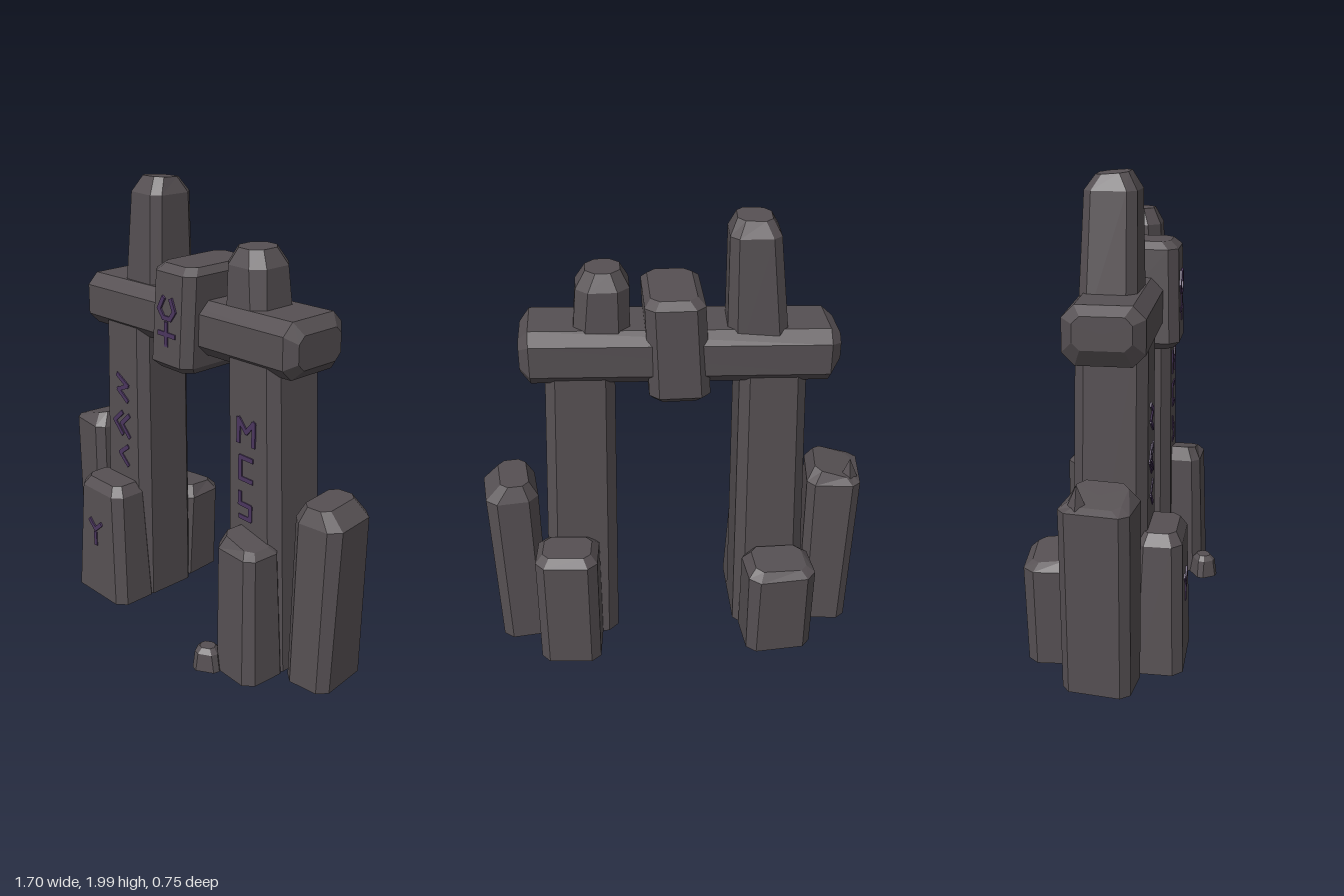
import * as THREE from 'three';

export function createModel() {
  const root = new THREE.Group();
  root.name = 'stoneGate';
  const stoneMat = new THREE.MeshStandardMaterial({ color: 0x565053 });
  stoneMat.name = 'dark stone';
  const runeMat = new THREE.MeshStandardMaterial({ color: 0x4b365f });
  runeMat.name = 'dull violet';

  // Chamfered-rectangle cross-section, turned about its centre, with a tilt in x and z
  function ring([y, x0, x1, z0, z1, c, tx = 0, tz = 0], rot) {
    const cx = (x0 + x1) / 2, cz = (z0 + z1) / 2, w = (x1 - x0) / 2, d = (z1 - z0) / 2;
    const pts = [[w, -d + c], [w, d - c], [w - c, d], [-w + c, d],
      [-w, d - c], [-w, -d + c], [-w + c, -d], [w - c, -d]];
    return pts.map(([x, z]) => new THREE.Vector3(
      cx + x * Math.cos(rot) - z * Math.sin(rot),
      y + tx * x + tz * z,
      cz + x * Math.sin(rot) + z * Math.cos(rot)));
  }

  // Hewn block lofted through rings of [y, x0, x1, z0, z1, chamfer, tiltX, tiltZ]
  function stone(name, sections, rot = 0) {
    const rings = sections.map((s) => ring(s, rot));
    const pos = [];
    const tri = (...v) => v.forEach((p) => pos.push(p.x, p.y, p.z));
    const mid = (r) => r.reduce((s, p) => s.add(p), new THREE.Vector3()).divideScalar(r.length);
    const low = rings[0], high = rings[rings.length - 1];
    const lowMid = mid(low), highMid = mid(high);
    for (let i = 0; i < 8; i++) {
      const j = (i + 1) % 8;
      for (let k = 0; k < rings.length - 1; k++) {
        const a = rings[k], b = rings[k + 1];
        tri(a[i], b[i], a[j]);
        tri(b[i], b[j], a[j]);
      }
      tri(lowMid, low[i], low[j]);
      tri(highMid, high[j], high[i]);
    }
    const geo = new THREE.BufferGeometry();
    geo.setAttribute('position', new THREE.Float32BufferAttribute(pos, 3));
    geo.computeVertexNormals();
    const mesh = new THREE.Mesh(geo, stoneMat);
    mesh.name = name;
    root.add(mesh);
    return mesh;
  }

  // Main pillars, below and above the lintel
  stone('rightPillar', [
    [0, -0.6, -0.28, -0.16, 0.152, 0.045],
    [1.4, -0.553, -0.274, -0.14, 0.146, 0.04]]);
  stone('leftPillar', [
    [0, 0.265, 0.59, -0.16, 0.152, 0.045],
    [1.4, 0.243, 0.53, -0.14, 0.146, 0.04]]);
  stone('rightPillarTop', [
    [1.4, -0.485, -0.224, -0.14, 0.1, 0.04],
    [1.92, -0.43, -0.225, -0.12, 0.09, 0.035],
    [1.985, -0.395, -0.255, -0.08, 0.05, 0.03, 0.04, 0.08]], 0.05);
  stone('leftPillarTop', [
    [1.4, 0.18, 0.42, -0.135, 0.115, 0.045],
    [1.715, 0.175, 0.392, -0.12, 0.103, 0.05],
    [1.783, 0.21, 0.35, -0.085, 0.07, 0.04]]);

  // Lintel, lofted upright and laid along x
  const lintel = stone('lintel', [
    [-0.69, -1.49, -1.36, -0.12, 0.11, 0.03],
    [-0.645, -1.525, -1.29, -0.168, 0.155, 0.05],
    [0.59, -1.56, -1.325, -0.17, 0.16, 0.05],
    [0.632, -1.51, -1.37, -0.125, 0.115, 0.03]]);
  lintel.geometry.rotateZ(-Math.PI / 2);

  // Keystone
  stone('keystone', [
    [1.235, -0.12, 0.085, -0.16, 0.195, 0.035],
    [1.265, -0.148, 0.106, -0.192, 0.225, 0.04],
    [1.655, -0.126, 0.12, -0.185, 0.215, 0.04],
    [1.685, -0.095, 0.095, -0.15, 0.18, 0.035]]);

  // Outer buttress stones
  stone('rightOuterStone', [
    [0, -0.828, -0.61, -0.15, 0.13, 0.035],
    [0.765, -0.843, -0.607, -0.155, 0.13, 0.035],
    [0.805, -0.81, -0.64, -0.12, 0.09, 0.03, 0.28]], 0.12);
  const spike = new THREE.Mesh(new THREE.ConeGeometry(0.05, 0.12, 4).toNonIndexed(), stoneMat);
  spike.geometry.computeVertexNormals();
  spike.name = 'brokenSpike';
  spike.position.set(-0.785, 0.805, -0.09);
  root.add(spike);
  stone('leftOuterStone', [
    [0, 0.6, 0.815, -0.165, 0.13, 0.04],
    [0.75, 0.608, 0.836, -0.155, 0.12, 0.045],
    [0.818, 0.645, 0.768, -0.125, 0.095, 0.03]], -0.12);

  // Front and back footing stones
  stone('rightFrontStone', [
    [0, -0.64, -0.28, 0.08, 0.305, 0.04],
    [0.545, -0.6, -0.308, 0.1, 0.292, 0.04],
    [0.59, -0.565, -0.34, 0.125, 0.265, 0.03]]);
  stone('leftFrontStone', [
    [0, 0.35, 0.59, 0.08, 0.305, 0.04],
    [0.575, 0.34, 0.565, 0.1, 0.287, 0.035],
    [0.618, 0.365, 0.535, 0.125, 0.26, 0.03, -0.22]], 0.05);
  stone('rightBackStone', [
    [0, -0.61, -0.31, -0.35, -0.1, 0.04],
    [0.41, -0.612, -0.31, -0.365, -0.12, 0.045],
    [0.45, -0.575, -0.345, -0.33, -0.165, 0.03, 0.06, 0.1]], -0.08);
  stone('leftBackStone', [
    [0, 0.345, 0.615, -0.355, -0.1, 0.04],
    [0.53, 0.345, 0.615, -0.352, -0.12, 0.04],
    [0.565, 0.375, 0.585, -0.32, -0.165, 0.03]], 0.08);

  // Loose pebble at the foot
  stone('pebble', [
    [0, 0.28, 0.4, 0.26, 0.365, 0.02],
    [0.08, 0.288, 0.388, 0.27, 0.358, 0.02],
    [0.102, 0.305, 0.37, 0.285, 0.34, 0.015]], -0.55);

  // Carved marks: each mark is a set of strokes, each stroke a chain of thin plates
  function mark(name, z, ...strokes) {
    const group = new THREE.Group();
    group.name = name;
    for (const pts of strokes) {
      for (let i = 0; i < pts.length - 1; i++) {
        const [ax, ay] = pts[i], [bx, by] = pts[i + 1];
        const bar = new THREE.Mesh(
          new THREE.BoxGeometry(Math.hypot(bx - ax, by - ay) + 0.012, 0.02, 0.009), runeMat);
        bar.name = 'stroke';
        bar.position.set((ax + bx) / 2, (ay + by) / 2, z);
        bar.rotation.z = Math.atan2(by - ay, bx - ax);
        group.add(bar);
      }
    }
    root.add(group);
  }
  const rp = 0.149, lp = 0.149, ks = 0.222;
  mark('zigzagMark', rp, [[-0.455, 1.09], [-0.384, 1.05], [-0.452, 1.02], [-0.388, 0.976]]);
  mark('doubleChevronMark', rp,
    [[-0.43, 0.91], [-0.484, 0.86], [-0.43, 0.805]],
    [[-0.38, 0.905], [-0.434, 0.855], [-0.38, 0.8]]);
  mark('chevronMark', rp, [[-0.394, 0.748], [-0.45, 0.705], [-0.394, 0.655]]);
  mark('forkMark', 0.299,
    [[-0.508, 0.382], [-0.468, 0.345], [-0.426, 0.382]],
    [[-0.468, 0.325], [-0.468, 0.266]]);
  mark('peakMark', lp,
    [[0.345, 1.01], [0.345, 1.11], [0.39, 1.06], [0.432, 1.11], [0.432, 1.01]]);
  mark('bracketMark', lp, [[0.426, 0.945], [0.358, 0.945], [0.358, 0.85], [0.426, 0.85]]);
  mark('hookMark', lp,
    [[0.358, 0.785], [0.358, 0.735], [0.42, 0.735], [0.42, 0.675], [0.36, 0.675]]);
  mark('openRingMark', ks,
    [[-0.034, 1.548], [-0.061, 1.5], [-0.034, 1.465], [0.008, 1.465], [0.034, 1.5], [0.013, 1.548]]);
  mark('crossMark', ks,
    [[-0.064, 1.395], [0.034, 1.395]], [[-0.018, 1.443], [-0.018, 1.348]]);

  return root;
}
